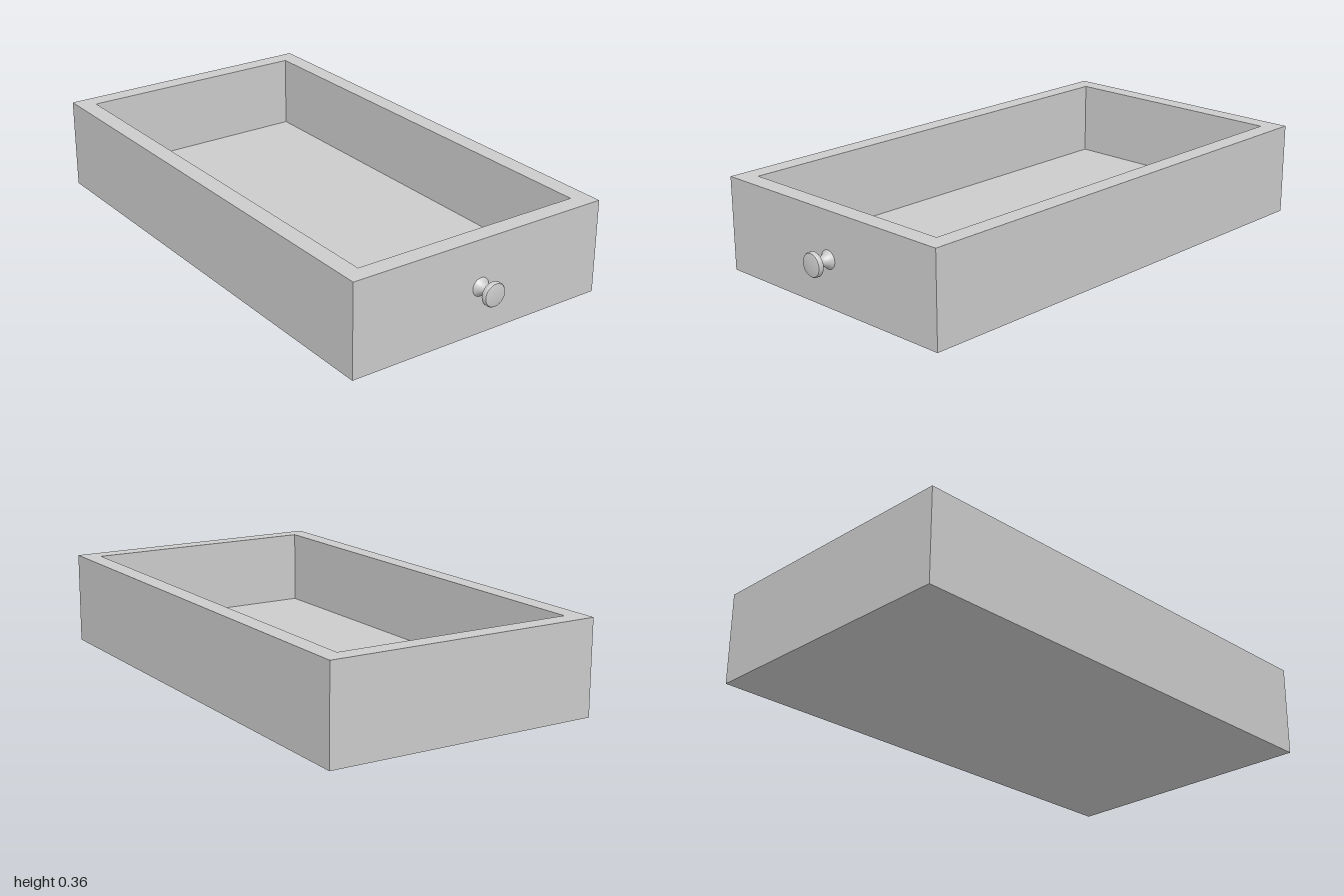
import * as THREE from 'three';

const WIDTH = 1.064, HEIGHT = 0.357, BACK = -1, FRONT = 0.922, WALL = 0.07;

export function createModel() {
  const model = new THREE.Group();
  model.name = 'drawer';
  const material = new THREE.MeshStandardMaterial({ color: 0xcccccc });
  const add = (name, geometry) => {
    const mesh = new THREE.Mesh(geometry, material);
    mesh.name = name;
    model.add(mesh);
    return mesh;
  };
  const rectangle = (Type, inset) => {
    const x = WIDTH / 2 - inset, y0 = -FRONT + inset, y1 = -BACK - inset;
    return new Type([[-x, y0], [x, y0], [x, y1], [-x, y1]].map(p => new THREE.Vector2(...p)));
  };

  // Continuous frame of four walls, extruded upward
  const frame = rectangle(THREE.Shape, 0);
  frame.holes.push(rectangle(THREE.Path, WALL));
  const walls = new THREE.ExtrudeGeometry(frame, { depth: HEIGHT, bevelEnabled: false });
  add('walls', walls.rotateX(-Math.PI / 2));

  // Floor panel fitted inside the frame
  const floor = new THREE.ExtrudeGeometry(rectangle(THREE.Shape, WALL), { depth: WALL, bevelEnabled: false });
  add('floor', floor.rotateX(-Math.PI / 2));

  // Turned knob: flared foot, slim neck and thin disc head
  const neck = new THREE.SplineCurve([
    [0.035, 0], [0.025, 0.012], [0.018, 0.026], [0.017, 0.038], [0.022, 0.048], [0.036, 0.053],
  ].map(p => new THREE.Vector2(...p))).getPoints(16);
  const head = [
    [0.042, 0.054], [0.045, 0.057], [0.045, 0.070], [0.042, 0.074],
  ].map(p => new THREE.Vector2(...p));
  const knob = add('knob', new THREE.LatheGeometry([...neck, ...head], 40));
  knob.rotation.x = Math.PI / 2;
  knob.position.set(0, HEIGHT / 2, FRONT);

  // Gently domed knob face
  const face = add('knobFace', new THREE.LatheGeometry([
    [0.042, 0.074], [0.030, 0.0765], [0.015, 0.0777], [0, 0.078],
  ].map(p => new THREE.Vector2(...p)), 40));
  face.rotation.copy(knob.rotation);
  face.position.copy(knob.position);

  return model;
}
